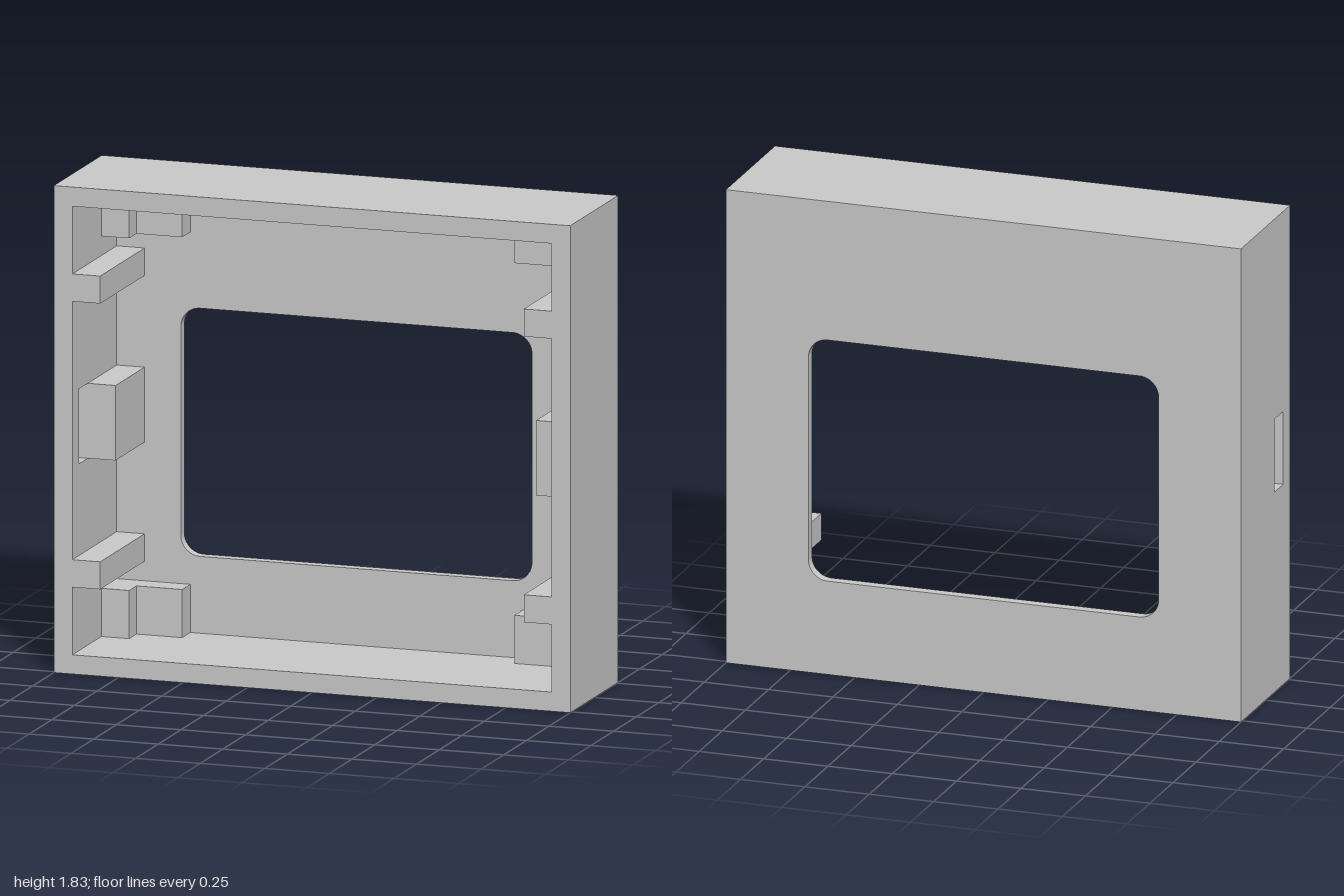
import * as THREE from 'three';

const H = 1.825, MID = H / 2;     // height and its middle
const WALL = 0.072, IN = 1 - WALL; // wall thickness, inner half width
const FRONT = 0.265, BACK = -0.265, FLOOR = -0.225; // depth levels
const RIB = 0.82;                 // inner face of the side ribs

const mat = new THREE.MeshStandardMaterial({ color: 0xcccccc });

export function createModel() {
  const model = new THREE.Group();

  const add = (name, geometry) => {
    const mesh = new THREE.Mesh(geometry, mat);
    mesh.name = name;
    model.add(mesh);
  };
  // Box given by its limits
  const box = (name, x0, x1, y0, y1, z0, z1) => {
    const g = new THREE.BoxGeometry(Math.abs(x1 - x0), y1 - y0, z1 - z0);
    add(name, g.translate((x0 + x1) / 2, (y0 + y1) / 2, (z0 + z1) / 2));
  };
  const polygon = (pts) => new THREE.Shape(pts.map(([x, y]) => new THREE.Vector2(x, y)));
  const rectangle = (x0, x1, y0, y1) => polygon([[x0, y0], [x1, y0], [x1, y1], [x0, y1]]);
  const extrude = (shape, depth) =>
    new THREE.ExtrudeGeometry(shape, { depth, bevelEnabled: false, curveSegments: 8 });

  // Back panel with a rounded window
  const panel = rectangle(-1, 1, 0, H);
  const w = 0.68, b = 0.36, t = 1.29, r = 0.075;
  const win = new THREE.Path();
  win.absarc(w - r, b + r, r, -Math.PI / 2, 0);
  win.absarc(w - r, t - r, r, 0, Math.PI / 2);
  win.absarc(-w + r, t - r, r, Math.PI / 2, Math.PI);
  win.absarc(-w + r, b + r, r, Math.PI, Math.PI * 1.5);
  win.closePath();
  panel.holes.push(win);
  add('backPanel', extrude(panel, FLOOR - BACK).translate(0, 0, BACK));

  // Top, bottom and left walls in one piece
  const rim = polygon([[-1, 0], [1, 0], [1, H], [-1, H],
    [-1, H - WALL], [IN, H - WALL], [IN, WALL], [-1, WALL]]);
  add('rim', extrude(rim, FRONT - FLOOR).translate(0, 0, FLOOR));

  // Right wall with its slot, drawn in z and y
  const side = rectangle(FLOOR, FRONT, WALL, H - WALL);
  side.holes.push(rectangle(0.095, 0.19, 0.772, 1.053));
  add('slottedWall', extrude(side, WALL).rotateY(-Math.PI / 2).translate(-IN, 0, 0));

  for (const s of [-1, 1]) {
    // Block half way up each side wall; the one by the slot is shorter
    box('sideBlock', s * RIB, s * IN, 0.772, 1.053, FLOOR, s < 0 ? 0.095 : 0.13);
    for (const v of [-1, 1]) {
      const span = (near, far) => [MID + v * near, MID + v * far].sort((p, q) => p - q);
      // Long rail reaching the front edge
      box('sideRail', s * RIB, s * IN, ...span(0.484, 0.587), FLOOR, FRONT);
      // Stepped corner support
      const y = span(0.66, MID - WALL);
      box('cornerPost', s * RIB, s * IN, ...y, FLOOR, -0.055);
      box('cornerStep', s * 0.643, s * RIB, ...y, FLOOR, -0.135);
    }
  }
  return model;
}
